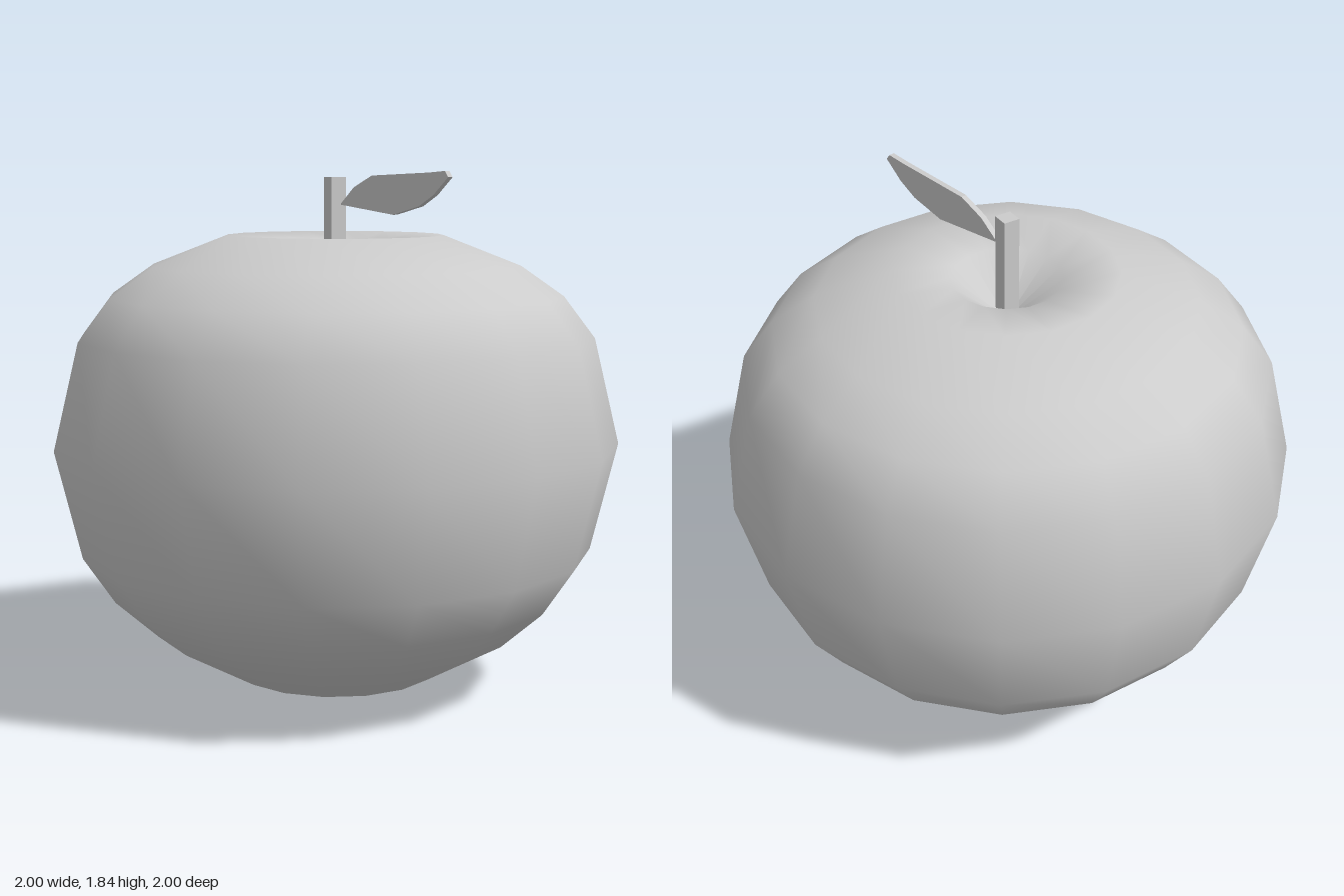
import * as THREE from 'three';

export function createModel() {
  const model = new THREE.Group();
  const grey = new THREE.MeshStandardMaterial({ color: 0xcccccc });
  const flatGrey = new THREE.MeshStandardMaterial({ color: 0xcccccc, flatShading: true });

  function add(name, geometry, material) {
    const mesh = new THREE.Mesh(geometry, material);
    mesh.name = name;
    model.add(mesh);
    return mesh;
  }

  // Fruit body: smooth 16-sided lathe with a dimple at both ends (radius, height)
  const profile = [
    [0, 0.06], [0.19, 0], [0.37, 0.05], [0.65, 0.21], [0.8, 0.345], [0.91, 0.51],
    [1, 0.89], [0.91, 1.26], [0.8, 1.405], [0.65, 1.51], [0.38, 1.615], [0.19, 1.59], [0, 1.43],
  ].map(([r, y]) => new THREE.Vector2(r, y));
  add('fruitBody', new THREE.LatheGeometry(profile, 16), grey);

  // Stem: square post, slightly twisted, rising out of the top dimple
  const stem = add('stem', new THREE.BoxGeometry(0.057, 0.415, 0.057), flatGrey);
  stem.position.set(-0.005, 1.6075, 0.005);
  stem.rotation.y = -0.2;

  // Leaf: thin upright blade pointing forward from the stem (forward, height)
  const outline = [
    [0.03, 1.72], [0.31, 1.69], [0.44, 1.72], [0.51, 1.757], [0.58, 1.815],
    [0.565, 1.835], [0.49, 1.83], [0.2, 1.82], [0.105, 1.78],
  ].map(([z, y]) => new THREE.Vector2(z, y));
  const leaf = add('leaf', new THREE.ExtrudeGeometry(new THREE.Shape(outline), {
    depth: 0.02, bevelEnabled: false,
  }), flatGrey);
  leaf.rotation.y = -Math.PI / 2;
  leaf.position.x = 0.017;

  return model;
}
